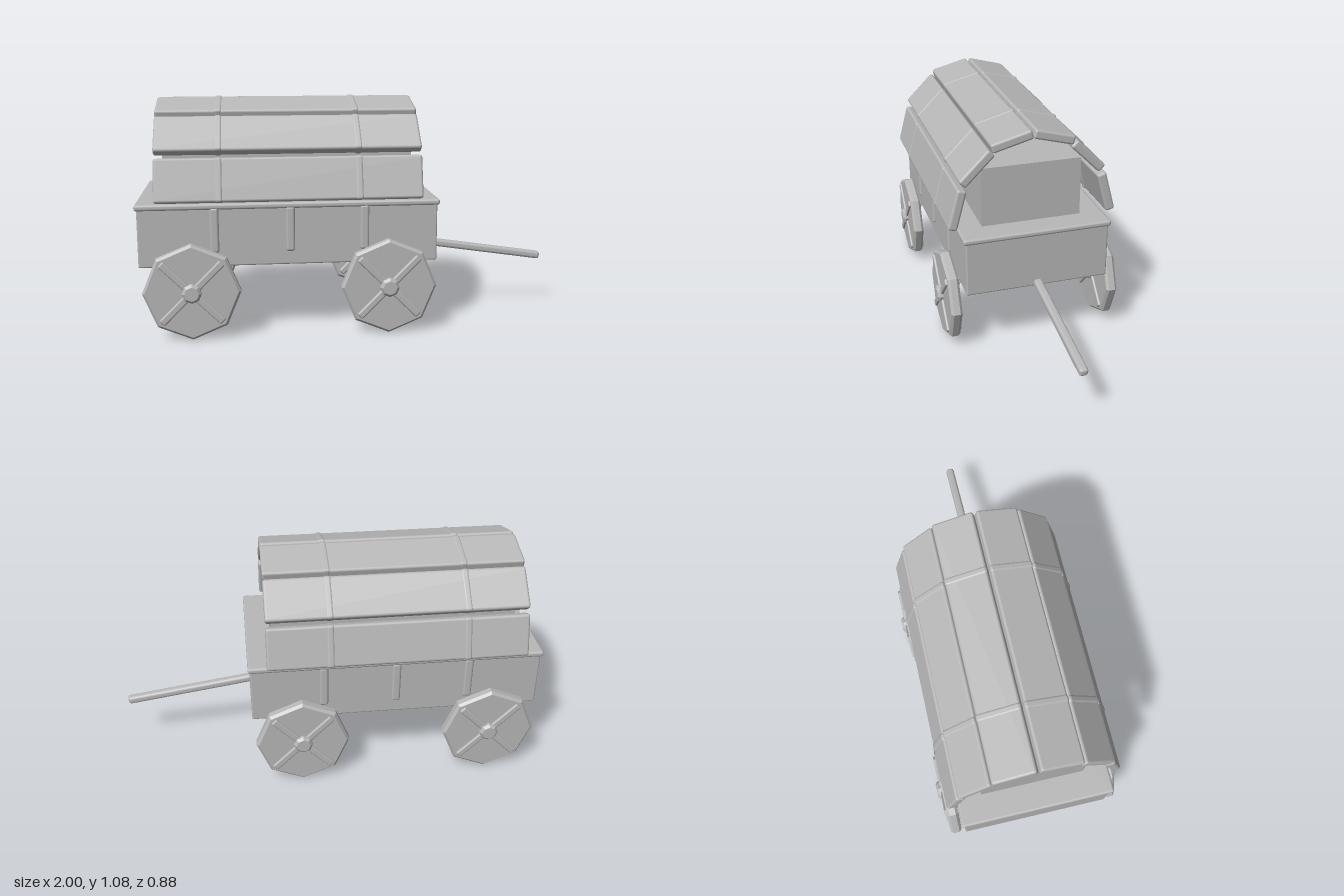
import * as THREE from 'three';
import { RoundedBoxGeometry } from 'three/addons/geometries/RoundedBoxGeometry.js';

const grey = new THREE.MeshStandardMaterial({ color: 0xb8b8b8 });
grey.name = 'plain grey';

function add(parent, name, geometry, x = 0, y = 0, z = 0) {
  const mesh = new THREE.Mesh(geometry, grey);
  mesh.name = name;
  mesh.position.set(x, y, z);
  parent.add(mesh);
  return mesh;
}

const rounded = (w, h, d, r) => new RoundedBoxGeometry(w, h, d, 2, r);

// Eight-sided disc with bevelled edges, axis along z and a corner at the bottom
function octagon(radius, depth, bevel) {
  const h = depth / 2;
  const profile = [[0, -h], [radius - bevel, -h], [radius, bevel - h], [radius, h - bevel], [radius - bevel, h], [0, h]]
    .map(([r, y]) => new THREE.Vector2(r, y));
  const geometry = new THREE.LatheGeometry(profile, 8).toNonIndexed();
  geometry.rotateX(Math.PI / 2);
  geometry.computeVertexNormals();
  return geometry;
}

function makeWheel() {
  const wheel = new THREE.Group();
  wheel.name = 'wheel';
  add(wheel, 'wheelDisc', octagon(0.222, 0.054, 0.012));
  for (const angle of [Math.PI / 4, -Math.PI / 4]) {
    add(wheel, 'spokeBar', rounded(0.39, 0.034, 0.074, 0.008)).rotation.z = angle;
  }
  add(wheel, 'hub', octagon(0.045, 0.106, 0.012));
  return wheel;
}

export function createModel() {
  const wagon = new THREE.Group();
  wagon.name = 'coveredWagon';

  // Bed, top board and the load under the cover
  add(wagon, 'bed', rounded(1.375, 0.28, 0.69, 0.008), -0.3025, 0.465, 0);
  add(wagon, 'topBoard', rounded(1.395, 0.028, 0.712, 0.011), -0.3025, 0.603, 0);
  add(wagon, 'innerBox', new THREE.BoxGeometry(1.15, 0.295, 0.48), -0.3, 0.757, 0);

  // Cover panels with hoops, mirrored on both sides: z, y, tilt in degrees
  const panels = [[0.36, 0.725, 75], [0.265, 0.917, 45], [0.1, 1.028, 15]];
  for (const side of [1, -1]) {
    for (const [z, y, tilt] of panels) {
      const section = new THREE.Group();
      section.name = 'coverSection';
      section.position.set(0, y, side * z);
      section.rotation.x = side * THREE.MathUtils.degToRad(tilt);
      add(section, 'coverPanel', rounded(1.215, 0.046, 0.2, 0.012), -0.3, 0, 0);
      for (const x of [-0.62, 0.015]) add(section, 'hoop', rounded(0.036, 0.054, 0.203, 0.012), x, 0, 0);
      wagon.add(section);
    }

    // Upright struts on the bed sides
    for (const x of [-0.645, -0.3, 0.043]) {
      add(wagon, 'strut', rounded(0.042, 0.21, 0.03, 0.012), x, 0.493, side * 0.341);
    }

    // Wheels
    for (const x of [-0.75, 0.15]) {
      const wheel = makeWheel();
      wheel.position.set(x, 0.222, side * 0.389);
      wagon.add(wheel);
    }
  }

  // Sloping draw bar
  const bar = add(wagon, 'drawBar', rounded(0.64, 0.038, 0.042, 0.014), 0.682, 0.294, 0);
  bar.rotation.z = -0.15;

  return wagon;
}
